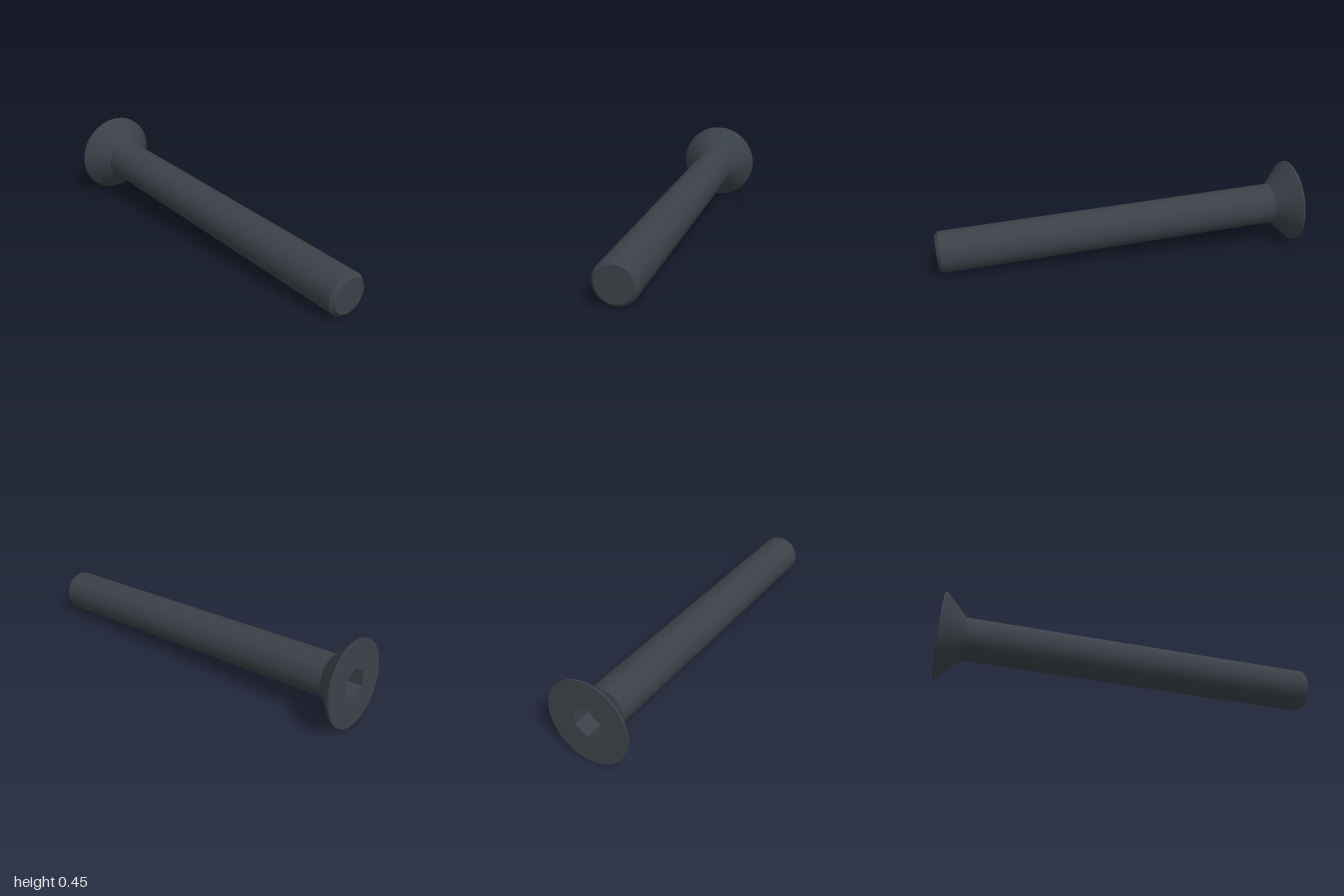
import * as THREE from 'three';

export function createModel() {
  const steel = new THREE.MeshStandardMaterial({ color: 0x3a4147 });
  steel.name = 'darkSteel';

  const LENGTH = 1.983, HEAD_R = 0.225, SHAFT_R = 0.111, TIP_R = 0.093;
  const RIM = 0.01, NECK = 0.122, CHAMFER = 0.02;
  const SOCKET_R = 0.083, SOCKET_DEPTH = 0.1;

  const bolt = new THREE.Group();
  bolt.name = 'countersunkBolt';

  const add = (name, geometry) => {
    const mesh = new THREE.Mesh(geometry, steel);
    mesh.name = name;
    bolt.add(mesh);
  };
  const lathe = (points, sides) =>
    new THREE.LatheGeometry(points.map(([r, y]) => new THREE.Vector2(r, y)), sides);

  // Round sections along the local y axis, each its own mesh so edges stay sharp
  const sections = [
    ['headRim', [HEAD_R, 0], [HEAD_R, RIM]],
    ['headCone', [HEAD_R, RIM], [SHAFT_R, NECK]],
    ['shaft', [SHAFT_R, NECK], [SHAFT_R, LENGTH - CHAMFER]],
    ['tipChamfer', [SHAFT_R, LENGTH - CHAMFER], [TIP_R, LENGTH]],
    ['tipFace', [TIP_R, LENGTH], [0, LENGTH]],
  ];
  for (const [name, from, to] of sections) add(name, lathe([from, to], 32));

  // Flat head face with a hexagonal opening
  const face = new THREE.Shape().absarc(0, 0, HEAD_R, 0, Math.PI * 2);
  const corners = [];
  for (let i = 0; i < 6; i++) {
    const a = Math.PI / 2 + i * Math.PI / 3;
    corners.push(new THREE.Vector2(SOCKET_R * Math.cos(a), SOCKET_R * Math.sin(a)));
  }
  face.holes.push(new THREE.Path(corners));
  add('headFace', new THREE.ShapeGeometry(face, 32).rotateX(Math.PI / 2));

  // Hex socket: floor and inward-facing flat walls
  const socket = lathe([[0, SOCKET_DEPTH], [SOCKET_R, SOCKET_DEPTH], [SOCKET_R, 0]], 6).toNonIndexed();
  socket.computeVertexNormals();
  add('hexSocket', socket);

  // Lay the bolt down, resting on head rim and tip
  const head = new THREE.Vector3(-0.952, 0.226, -0.147);
  const tip = new THREE.Vector3(0.98, 0.113, 0.263);
  const axis = tip.clone().sub(head).normalize();
  const up = new THREE.Vector3(0, 1, 0).addScaledVector(axis, -axis.y).normalize();
  const side = new THREE.Vector3().crossVectors(axis, up);
  bolt.quaternion.setFromRotationMatrix(new THREE.Matrix4().makeBasis(side, axis, up));
  bolt.position.copy(head);

  const model = new THREE.Group();
  model.name = 'model';
  model.add(bolt);
  return model;
}
